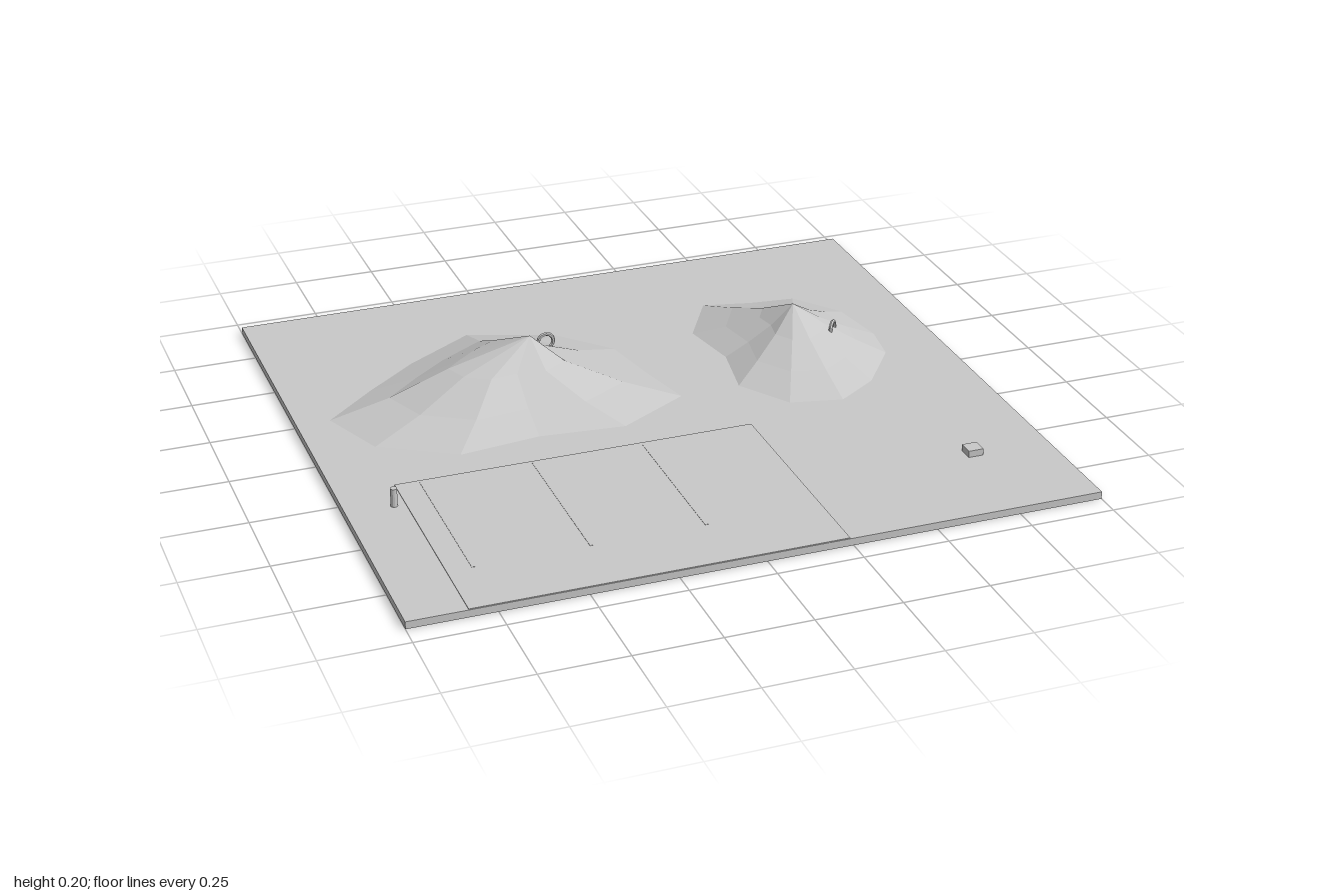
import * as THREE from 'three';

const GROUND = 0.022;

export function createModel() {
  const model = new THREE.Group();
  model.name = 'terrainBoard';
  const stone = new THREE.MeshStandardMaterial({ color: 0xc8c8c8, flatShading: true });
  stone.name = 'light grey';

  function add(name, geometry, x, y, z, parent = model) {
    const mesh = new THREE.Mesh(geometry, stone);
    mesh.name = name;
    mesh.position.set(x, y, z);
    parent.add(mesh);
    return mesh;
  }

  // Faceted hill: an outline of [x, z] points shrinking through two rings to a peak
  function hillGeometry(outline, center, ringHeights, peak) {
    const n = outline.length;
    const rings = ringHeights.map((y, k) => outline.map(([x, z]) => {
      const f = 1 - k / 3;
      return [center[0] + (x - center[0]) * f, y, center[1] + (z - center[1]) * f];
    }));
    const position = [];
    for (let k = 0; k < rings.length; k++) {
      for (let i = 0; i < n; i++) {
        const j = (i + 1) % n;
        const a = rings[k][i], b = rings[k][j];
        if (k + 1 < rings.length) {
          const c = rings[k + 1][j], d = rings[k + 1][i];
          position.push(...a, ...b, ...c, ...a, ...c, ...d);
        } else {
          position.push(...a, ...b, ...peak);
        }
      }
    }
    const geometry = new THREE.BufferGeometry();
    geometry.setAttribute('position', new THREE.Float32BufferAttribute(position, 3));
    geometry.computeVertexNormals();
    return geometry;
  }

  // Ground slab
  add('ground', new THREE.BoxGeometry(2, GROUND, 1.864), 0, GROUND / 2, 0);

  // Wide hill
  add('wideHill', hillGeometry([
    [0.07, -0.21], [0.035, -0.39], [-0.11, -0.55], [-0.36, -0.64],
    [-0.575, -0.505], [-0.74, -0.37], [-0.9, -0.225], [-0.82, -0.02],
    [-0.605, 0.11], [-0.36, 0.08], [-0.105, 0.105], [0.115, -0.02],
  ], [-0.36, -0.22], [GROUND, 0.065, 0.13], [-0.29, 0.2, -0.213]), 0, 0, 0);

  // Narrow hill
  add('narrowHill', hillGeometry([
    [0.825, -0.215], [0.795, -0.4], [0.69, -0.54], [0.555, -0.555],
    [0.405, -0.59], [0.3, -0.41], [0.335, -0.22], [0.3, -0.025],
    [0.4, 0.13], [0.555, 0.165], [0.685, 0.08], [0.805, -0.08],
  ], [0.555, -0.22], [GROUND, 0.06, 0.105], [0.553, 0.166, -0.22]), 0, 0, 0);

  // Small rings set into the slopes
  const ring = new THREE.TorusGeometry(0.024, 0.006, 6, 12);
  add('narrowHillRing', ring, 0.66, 0.09, -0.16).rotation.y = 0.9;
  add('wideHillRing', ring, -0.21, 0.125, -0.31);

  // Paved pad with faint raised strips
  const pad = new THREE.Group();
  pad.name = 'pavedPad';
  model.add(pad);
  add('padSurface', new THREE.BoxGeometry(1.07, 0.002, 0.71), -0.295, GROUND + 0.001, 0.575, pad);
  for (const x of [-0.755, -0.425, -0.095]) {
    add('padStrip', new THREE.BoxGeometry(0.012, 0.001, 0.5), x, GROUND + 0.0025, 0.48, pad);
  }

  // Post and low block
  add('post', new THREE.CylinderGeometry(0.01, 0.01, 0.055, 12), -0.862, GROUND + 0.0275, 0.333);
  add('block', new THREE.BoxGeometry(0.045, 0.02, 0.045), 0.765, GROUND + 0.01, 0.6);

  return model;
}
